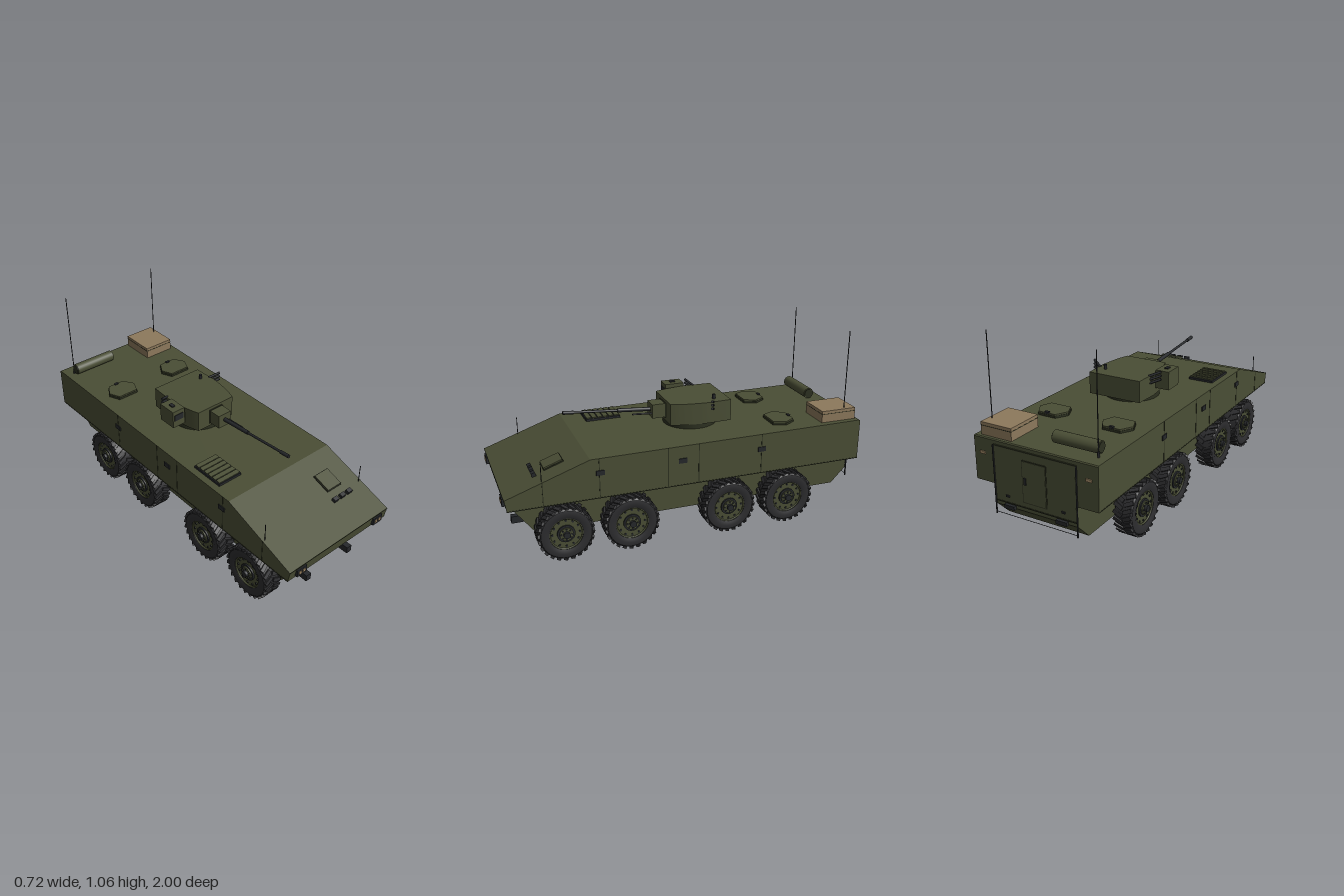
import * as THREE from 'three';
import { mergeGeometries, toCreasedNormals } from 'three/addons/utils/BufferGeometryUtils.js';

const mat = (name, color) => Object.assign(new THREE.MeshStandardMaterial({ color }), { name });

export function createModel() {
  const olive = mat('olive', 0x4a4e35), rubber = mat('rubber', 0x2d2d2f), dark = mat('darkMetal', 0x25272a);
  const seam = mat('seam', 0x2c3020), tan = mat('tan', 0x8d795c), lamp = mat('lamp', 0xa58c68);
  const model = new THREE.Group();
  model.name = 'armouredCarrier';

  const add = (name, geo, material, x = 0, y = 0, z = 0, parent = model) => {
    const m = new THREE.Mesh(geo, material);
    m.name = name;
    m.position.set(x, y, z);
    parent.add(m);
    return m;
  };
  const box = (name, w, h, d, material, x, y, z, parent) =>
    add(name, new THREE.BoxGeometry(w, h, d), material, x, y, z, parent);
  const group = (name, x, y, z, parent = model) => {
    const g = new THREE.Group();
    g.name = name;
    g.position.set(x, y, z);
    parent.add(g);
    return g;
  };
  // Round bar between two points
  const rod = (name, a, b, r, material, parent = model, sides = 10) => {
    const p = new THREE.Vector3(...a), d = new THREE.Vector3(...b).sub(p);
    const m = add(name, new THREE.CylinderGeometry(r, r, d.length(), sides), material, 0, 0, 0, parent);
    m.position.copy(p).addScaledVector(d, 0.5);
    m.quaternion.setFromUnitVectors(new THREE.Vector3(0, 1, 0), d.normalize());
    return m;
  };
  // Side profile of (z, y) points extruded across the width
  const profile = (pts, width) => {
    const s = new THREE.Shape(pts.map(p => new THREE.Vector2(...p)));
    return new THREE.ExtrudeGeometry(s, { depth: width, bevelEnabled: false })
      .rotateY(-Math.PI / 2).translate(width / 2, 0, 0);
  };
  // Plan outline in (x, -z) extruded upward
  const plan = (shape, height) =>
    new THREE.ExtrudeGeometry(shape, { depth: height, bevelEnabled: false, curveSegments: 10 }).rotateX(-Math.PI / 2);

  // Hull
  add('upperHull', profile([[-0.985, 0.325], [0.978, 0.325], [0.99, 0.39], [0.555, 0.543], [-0.98, 0.555], [-0.985, 0.55]], 0.7), olive);
  add('lowerHull', profile([[-0.9, 0.135], [0.83, 0.135], [0.975, 0.326], [-0.984, 0.326], [-0.984, 0.22]], 0.47), olive);
  box('noseSeam', 0.7, 0.003, 0.003, seam, 0, 0.39, 0.99);

  // Side seams and vents
  const roofY = z => z > 0.555 ? 0.39 + (0.99 - z) * 0.352 : 0.551 - (z + 0.4) * 0.008;
  for (const s of [1, -1]) {
    for (const z of [0.8, 0.51, 0.145, -0.025, -0.385]) {
      const h = roofY(z) - 0.325;
      box('panelSeam', 0.003, h, 0.004, seam, s * 0.35, 0.325 + h / 2, z);
    }
    box('beltSeam', 0.003, 0.004, 1.96, seam, s * 0.35, 0.328, 0);
    for (const z of [0.505, 0.065, -0.385]) box('sideVent', 0.01, 0.026, 0.045, dark, s * 0.35, 0.466, z);
    rod('widthMarker', [s * 0.335, 0.44, 0.8], [s * 0.335, 0.555, 0.8], 0.002, dark);
    // Headlights and towing lugs
    box('headlightPlate', 0.064, 0.042, 0.016, dark, s * 0.273, 0.36, 0.988);
    for (const x of [0.26, 0.286]) box('headlight', 0.017, 0.018, 0.006, lamp, s * x, 0.36, 0.996);
    box('towLug', 0.032, 0.038, 0.06, dark, s * 0.15, 0.185, 0.907);
    // Whip antennas
    rod('antennaBase', [s * 0.3, 0.55, -0.905], [s * 0.3, 0.58, -0.905], 0.006, dark);
    rod('antenna', [s * 0.3, 0.55, -0.905], [s * 0.3, 1.055, -0.905], 0.0025, dark);
    // Tail details
    box('tailLight', 0.03, 0.014, 0.008, lamp, s * 0.3, 0.475, -0.986);
    box('rearStep', 0.06, 0.02, 0.022, dark, s * 0.15, 0.225, -0.989);
    rod('rampRail', [s * 0.235, 0.17, -0.99], [s * 0.235, 0.53, -0.99], 0.004, dark);
  }

  // Rear ramp with door
  box('ramp', 0.46, 0.29, 0.006, olive, 0, 0.385, -0.987);
  box('rampTopSeam', 0.47, 0.005, 0.008, seam, 0, 0.53, -0.988);
  box('rampBottomSeam', 0.47, 0.005, 0.008, seam, 0, 0.245, -0.988);
  rod('rampCable', [-0.235, 0.18, -0.99], [0.235, 0.18, -0.99], 0.0015, dark);
  box('doorBorder', 0.14, 0.22, 0.004, seam, 0, 0.38, -0.99);
  box('door', 0.13, 0.21, 0.006, olive, 0, 0.38, -0.991);
  box('doorHandle', 0.012, 0.035, 0.008, dark, 0.05, 0.385, -0.995);
  for (const x of [-0.16, 0.16]) box('rampHinge', 0.02, 0.01, 0.008, dark, x, 0.28, -0.991);

  // Roof stowage
  box('stowageBox', 0.18, 0.065, 0.205, tan, 0.23, 0.588, -0.863);
  box('stowageLidSeam', 0.182, 0.003, 0.207, seam, 0.23, 0.603, -0.863);
  rod('stowageRoll', [-0.3, 0.594, -0.88], [-0.05, 0.594, -0.88], 0.031, olive, model, 24);
  for (const x of [-0.302, -0.048]) rod('rollCap', [x - 0.002, 0.594, -0.88], [x + 0.002, 0.594, -0.88], 0.026, seam, model, 24);

  // Six-sided rear hatches
  const hatch = new THREE.Shape([[-0.05, 0.063], [0.05, 0.063], [0.087, 0], [0.06, -0.063], [-0.06, -0.063], [-0.087, 0]]
    .reverse().map(p => new THREE.Vector2(...p)));
  for (const x of [-0.192, 0.188]) {
    const g = group('roofHatch', x, 0.552, -0.563);
    const rim = add('hatchRim', plan(hatch, 0.012), seam, 0, 0, 0, g);
    rim.scale.set(1.03, 1, 1.03);
    add('hatchLid', plan(hatch, 0.02), olive, 0, 0, 0, g);
    box('hatchHinge', 0.025, 0.012, 0.014, dark, 0, 0.02, -0.058, g);
  }

  // Engine grille
  const grille = group('engineGrille', -0.24, 0.546, 0.345);
  box('grilleBase', 0.146, 0.014, 0.196, dark, 0, 0.004, 0, grille);
  for (let i = 0; i < 6; i++) {
    const slat = box('grilleSlat', 0.136, 0.006, 0.025, olive, 0, 0.014, -0.08 + i * 0.032, grille);
    slat.rotation.x = 0.15;
  }

  // Driver hatch and periscopes on the sloped nose
  const nose = group('driverStation', 0.185, roofY(0.715), 0.715);
  nose.rotation.x = 0.34;
  box('driverHatchRim', 0.1, 0.008, 0.11, seam, 0, 0.002, 0, nose);
  box('driverHatch', 0.094, 0.018, 0.104, olive, 0, 0.004, 0, nose);
  for (const x of [-0.05, 0, 0.05]) box('periscope', 0.03, 0.025, 0.022, dark, x, 0.008, 0.11, nose);

  // Turret
  const turret = group('turret', 0, 0, 0);
  add('turretRing', new THREE.CylinderGeometry(0.15, 0.15, 0.034, 40), seam, 0, 0.562, -0.105, turret);
  const t = new THREE.Shape();
  t.moveTo(-0.12, -0.05);
  t.lineTo(0.12, -0.05);
  t.quadraticCurveTo(0.148, 0.02, 0.158, 0.15);
  t.lineTo(0.152, 0.288);
  t.lineTo(-0.152, 0.288);
  t.lineTo(-0.158, 0.15);
  t.quadraticCurveTo(-0.148, 0.02, -0.12, -0.05);
  add('turretBody', toCreasedNormals(plan(t, 0.118), 0.5), olive, 0, 0.575, 0, turret);
  box('mantletBorder', 0.09, 0.084, 0.006, seam, 0, 0.635, 0.052, turret);
  box('mantlet', 0.084, 0.078, 0.075, olive, 0, 0.635, 0.088, turret);
  rod('barrelSleeve', [0, 0.637, 0.12], [0, 0.652, 0.31], 0.011, dark, turret, 14);
  rod('barrel', [0, 0.65, 0.29], [0, 0.674, 0.59], 0.007, dark, turret, 12);
  rod('muzzleBrake', [0, 0.67, 0.55], [0, 0.675, 0.608], 0.01, dark, turret, 12);
  rod('coaxialGun', [0.03, 0.622, 0.11], [0.03, 0.63, 0.235], 0.005, dark, turret);

  // Sight housing on the turret's right
  box('sightMount', 0.04, 0.05, 0.08, olive, -0.162, 0.64, -0.075, turret);
  box('sightHousing', 0.078, 0.1, 0.11, olive, -0.198, 0.66, -0.075, turret);
  box('sightWindow', 0.058, 0.036, 0.006, dark, -0.198, 0.668, -0.02, turret);
  box('sightCap', 0.02, 0.008, 0.03, dark, -0.2, 0.712, -0.075, turret);
  rod('roofPeriscope', [0.105, 0.69, -0.205], [0.105, 0.718, -0.205], 0.009, dark, turret);
  // Smoke dischargers
  for (const s of [1, -1]) for (let i = 0; i < 3; i++) {
    const y = 0.65 + i * 0.02;
    rod('smokeTube', [s * 0.148, y, -0.185], [s * 0.206, y + 0.024, -0.155], 0.007, dark, turret);
  }

  // Wheel parts, axle along +x with the outer face at +x
  const turn = g => g.rotateZ(-Math.PI / 2);
  const tyre = toCreasedNormals(turn(new THREE.LatheGeometry([
    [0.088, -0.046], [0.11, -0.054], [0.132, -0.05], [0.14, -0.042], [0.142, 0],
    [0.14, 0.042], [0.132, 0.05], [0.11, 0.054], [0.088, 0.046], [0.085, 0.03],
  ].map(p => new THREE.Vector2(...p)), 40)), 0.6);
  const lugs = [];
  for (let i = 0; i < 24; i++) for (const s of [1, -1]) {
    const g = new THREE.BoxGeometry(0.05, 0.012, 0.02);
    g.rotateY(s * 0.45).translate(s * 0.026, 0.142, 0);
    lugs.push(g.rotateX((i + (s > 0 ? 0 : 0.5)) / 24 * Math.PI * 2));
  }
  const tread = mergeGeometries(lugs);
  const disc = (r, h, n = 32) => turn(new THREE.CylinderGeometry(r, r, h, n));
  const rim = disc(0.09, 0.07), hubRing = disc(0.047, 0.012), hub = disc(0.036, 0.02), cap = disc(0.018, 0.03, 16);
  const bolts = (n, r, size) => mergeGeometries(Array.from({ length: n }, (_, i) =>
    disc(size, 0.01, 8).translate(0, r, 0).rotateX(i / n * Math.PI * 2)));
  const outerBolts = bolts(12, 0.072, 0.006), innerBolts = bolts(8, 0.028, 0.005);
  const rimLip = new THREE.TorusGeometry(0.086, 0.005, 8, 32).rotateY(Math.PI / 2);

  for (const s of [1, -1]) for (const z of [0.69, 0.34, -0.21, -0.56]) {
    const w = group('wheel', s * 0.295, 0.149, z);
    if (s < 0) w.rotation.y = Math.PI;
    add('tyre', tyre, rubber, 0, 0, 0, w);
    add('tread', tread, rubber, 0, 0, 0, w);
    add('rim', rim, olive, 0, 0, 0, w);
    add('rimLip', rimLip, olive, 0.04, 0, 0, w);
    add('rimBolts', outerBolts, dark, 0.034, 0, 0, w);
    add('hubRing', hubRing, dark, 0.037, 0, 0, w);
    add('hub', hub, olive, 0.04, 0, 0, w);
    add('hubBolts', innerBolts, dark, 0.049, 0, 0, w);
    add('hubCap', cap, dark, 0.05, 0, 0, w);
    add('axle', disc(0.035, 0.06, 16), dark, -0.06, 0, 0, w);
  }
  return model;
}
